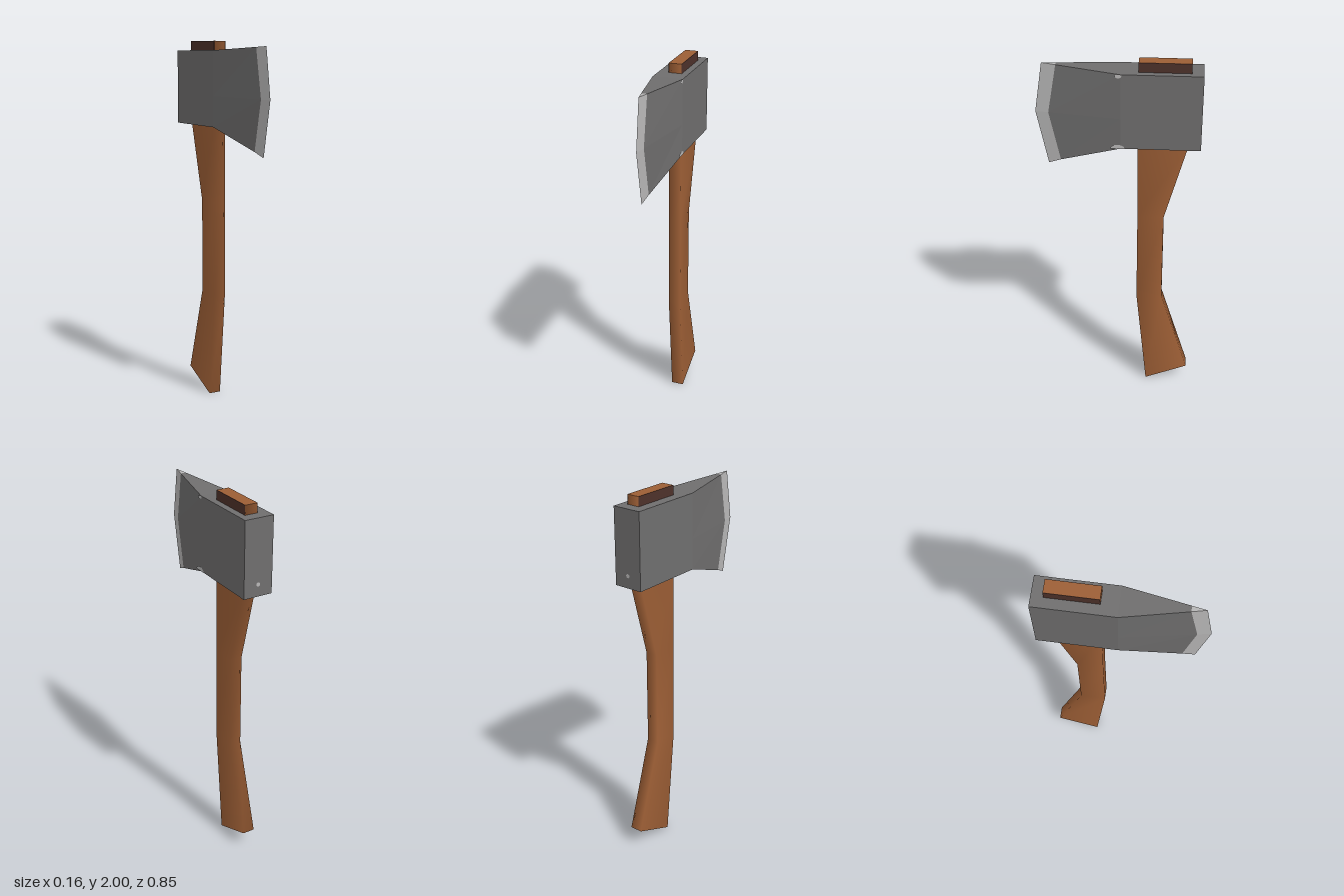
import * as THREE from 'three';

const wood = new THREE.MeshStandardMaterial({ color: 0x9c5e35 });
wood.name = 'wood';
const darkWood = new THREE.MeshStandardMaterial({ color: 0x4d312a });
darkWood.name = 'dark wood';
const steel = new THREE.MeshStandardMaterial({ color: 0x6f6e6e });
steel.name = 'steel';
const brightSteel = new THREE.MeshStandardMaterial({ color: 0xb8b7b7 });
brightSteel.name = 'bright steel';

// Flat-shaded mesh from quads, each given as four corners counter-clockwise
function quadMesh(name, quads, material) {
  const pos = quads.flatMap(([a, b, c, d]) => [a, b, c, a, c, d].flat());
  const geo = new THREE.BufferGeometry();
  geo.setAttribute('position', new THREE.Float32BufferAttribute(pos, 3));
  geo.computeVertexNormals();
  const mesh = new THREE.Mesh(geo, material);
  mesh.name = name;
  return mesh;
}

// Head columns from back to edge; each row, low to high, is [halfWidth, y, z]
const poll = [[0.08, 1.545, -0.425], [0.08, 1.71, -0.425], [0.08, 1.95, -0.425]];
const cheek = [[0.08, 1.545, -0.015], [0.08, 1.71, -0.015], [0.08, 1.95, -0.015]];
const bevel = [[0.014, 1.437, 0.3], [0.013, 1.705, 0.357], [0.015, 1.966, 0.312]];
const edge = [[0, 1.41, 0.365], [0, 1.705, 0.425], [0, 1.97, 0.385]];
const flip = ([x, y, z]) => [-x, y, z];

// Both sides, top and underside between neighbouring columns
function wedgeQuads(columns) {
  const quads = [];
  for (let i = 0; i < columns.length - 1; i++) {
    const back = columns[i], front = columns[i + 1];
    for (let j = 0; j < 2; j++) {
      const side = [front[j], back[j], back[j + 1], front[j + 1]];
      quads.push(side, side.map(flip).reverse());
    }
    quads.push([flip(front[2]), front[2], back[2], flip(back[2])]);
    quads.push([flip(back[0]), back[0], front[0], flip(front[0])]);
  }
  return quads;
}

// Handle sections from bottom to top: front [z, y] and back [z, y]
const sections = [
  [[-0.165, 0], [-0.4, 0.1]],
  [[-0.105, 0.6], [-0.245, 0.6]],
  [[-0.105, 1.12], [-0.245, 1.12]],
  [[-0.102, 1.55], [-0.362, 1.55]],
  [[-0.102, 1.95], [-0.365, 1.95]],
  [[-0.102, 2], [-0.365, 2]],
];
const X0 = -0.025, X1 = 0.043;
const ring = ([f, b]) => [[X0, f[1], f[0]], [X1, f[1], f[0]], [X1, b[1], b[0]], [X0, b[1], b[0]]];

function createHandle() {
  const group = new THREE.Group();
  group.name = 'handle';
  // Softly shaded shaft with shared corner normals
  const pos = sections.flatMap(s => ring(s).flat());
  const index = [];
  for (let i = 0; i < sections.length - 1; i++) {
    for (let k = 0; k < 4; k++) {
      const a = i * 4 + k, b = i * 4 + (k + 1) % 4;
      index.push(a, b, b + 4, a, b + 4, a + 4);
    }
  }
  const geo = new THREE.BufferGeometry();
  geo.setAttribute('position', new THREE.Float32BufferAttribute(pos, 3));
  geo.setIndex(index);
  geo.computeVertexNormals();
  const shaft = new THREE.Mesh(geo, wood);
  shaft.name = 'shaft';
  // End caps
  const bottom = ring(sections[0]).reverse(), top = ring(sections[5]);
  group.add(shaft, quadMesh('handleEnds', [bottom, top], wood));
  // Dark end grain on the sides of the stub above the head
  for (const s of [-1, 1]) {
    const plate = new THREE.Mesh(new THREE.BoxGeometry(0.002, 0.05, 0.263), darkWood);
    plate.position.set(s > 0 ? X1 : X0, 1.975, -0.2335);
    plate.name = 'stubSide';
    group.add(plate);
  }
  return group;
}

function createHead() {
  const group = new THREE.Group();
  group.name = 'axeHead';
  const backFace = [];
  for (let j = 0; j < 2; j++) {
    backFace.push([poll[j], flip(poll[j]), flip(poll[j + 1]), poll[j + 1]]);
  }
  group.add(
    quadMesh('headBody', [...wedgeQuads([poll, cheek, bevel]), ...backFace], steel),
    quadMesh('cuttingEdge', wedgeQuads([bevel, edge]), brightSteel),
  );
  // Worn bright nicks on the left cheek and the back
  const nick = (r, start, length, sy, p, turn) => {
    const mesh = new THREE.Mesh(new THREE.CircleGeometry(r, 10, start, length), brightSteel);
    mesh.scale.y = sy;
    mesh.position.set(...p);
    mesh.rotation.y = turn;
    mesh.name = 'wornNick';
    group.add(mesh);
  };
  nick(0.037, 0, Math.PI, 0.6, [0.081, 1.545, 0], Math.PI / 2);
  nick(0.018, Math.PI, Math.PI, 1, [0.081, 1.948, -0.003], Math.PI / 2);
  nick(0.011, 0, Math.PI * 2, 1, [0, 1.61, -0.426], Math.PI);
  return group;
}

export function createModel() {
  const model = new THREE.Group();
  model.name = 'axe';
  model.add(createHandle(), createHead());
  return model;
}
